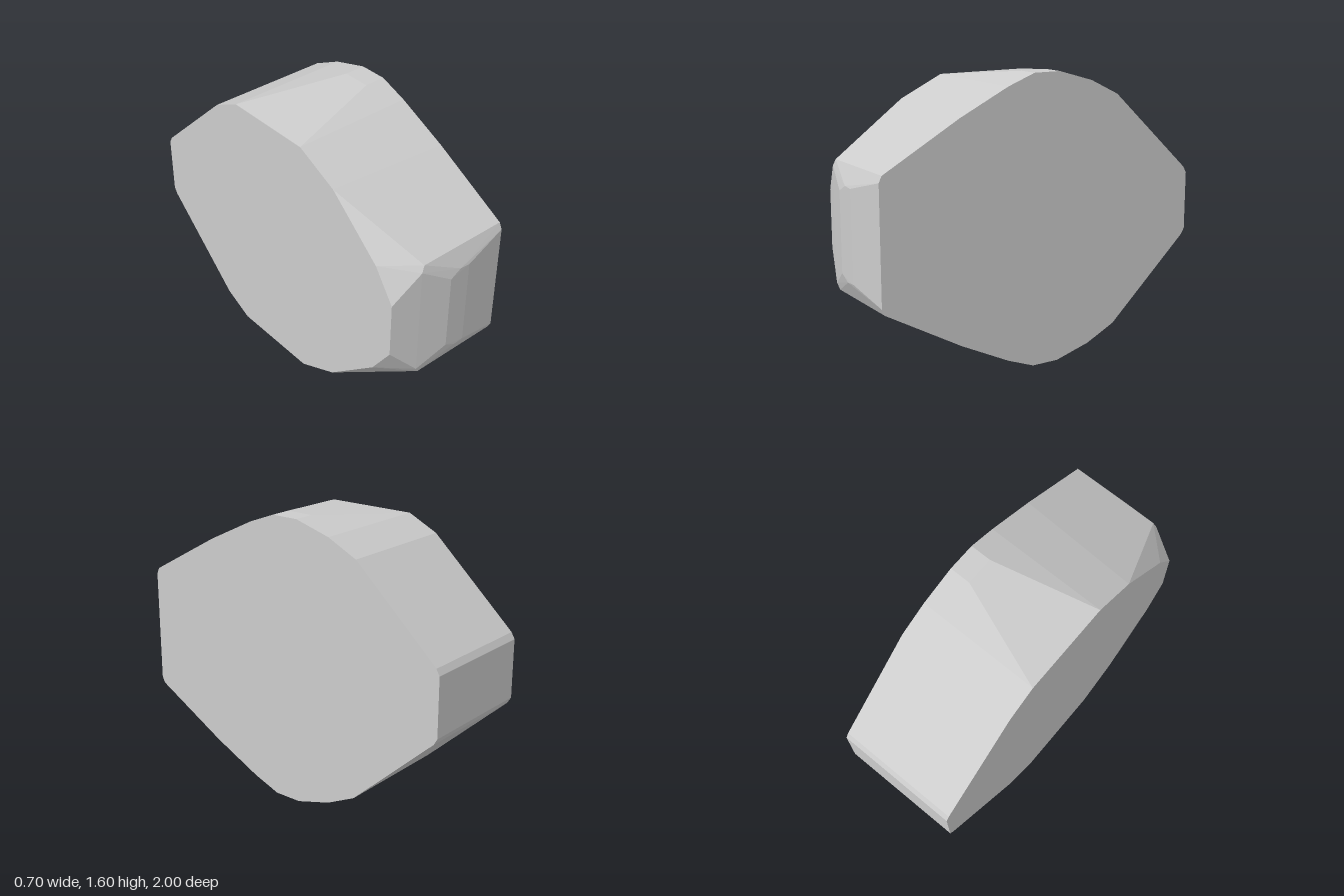
import * as THREE from 'three';
import { ConvexGeometry } from 'three/addons/geometries/ConvexGeometry.js';

const MID = 0.8; // height of the horizontal mirror plane

export function createModel() {
  const group = new THREE.Group();
  group.name = 'facetedBlock';

  // Corners of the upper half as [x, height above the mirror plane, z]
  const corners = [];

  // Edges running straight across both sides: rear bevels and rear wall
  for (const x of [-0.35, 0.35]) {
    corners.push([x, 0.74, -0.31], [x, 0.655, -0.485], [x, 0.2, -0.98], [x, 0.165, -1], [x, 0.74, 0.22]);
  }

  // Crown ridge and the flat left side, rear to front
  for (const x of [0.23, 0.35]) corners.push([x, 0.8, -0.1], [x, 0.8, 0.06]);
  corners.push([0.35, 0.6, 0.51], [0.35, 0.355, 0.95], [0.35, 0.32, 0.967]);

  // Right side outline, chamfered towards the front
  corners.push([-0.35, 0.62, 0.47], [-0.35, 0.34, 0.79], [-0.35, 0.16, 0.912]);

  // Front corner facets and the raised nose
  corners.push([-0.18, 0.355, 0.95], [-0.2, 0.32, 0.958]);
  corners.push([-0.035, 0.22, 1], [0.03, 0.255, 0.999], [0.09, 0.25, 0.999]);

  const points = corners.flatMap(([x, h, z]) => [
    new THREE.Vector3(x, MID + h, z),
    new THREE.Vector3(x, MID - h, z),
  ]);

  const body = new THREE.Mesh(
    new ConvexGeometry(points),
    new THREE.MeshStandardMaterial({ color: 0xcccccc, flatShading: true })
  );
  body.name = 'body';
  group.add(body);
  return group;
}
